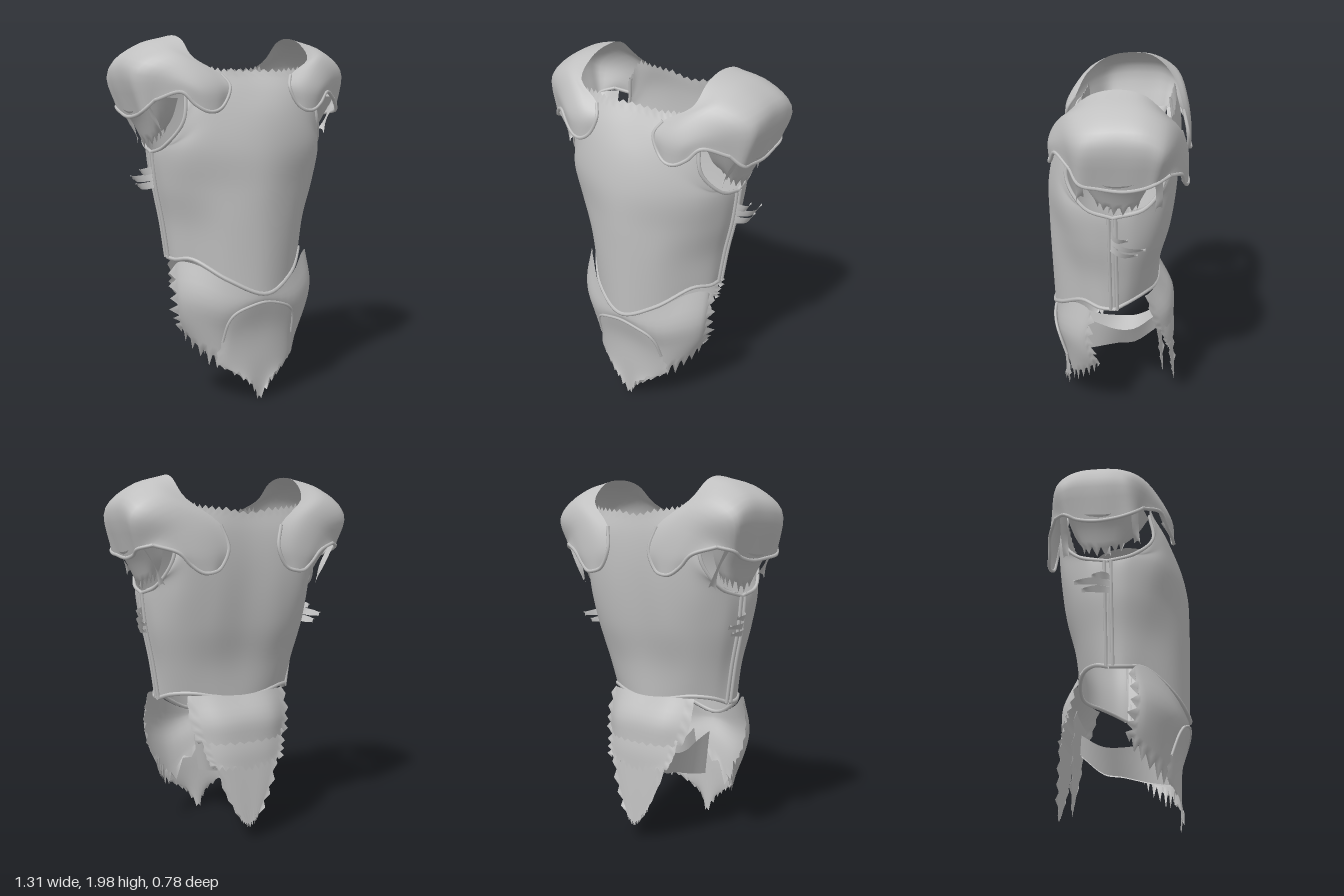
import * as THREE from 'three';

const steel = new THREE.MeshStandardMaterial({ color: 0xc0c0c0, side: THREE.DoubleSide });
steel.name = 'steel grey';

const V = ([x, y, z]) => new THREE.Vector3(x, y, z);
const hash = (i) => { const s = Math.sin(i * 12.9898 + 4.1) * 43758.5453; return s - Math.floor(s); };
const flip = (rows) => rows.map((r) => r.map(([x, y, z]) => [-x, y, z]));
// Completes rows that run from the centre line to the model's left
const whole = (rows) => rows.map((r) => [...r.slice(1).reverse().map(([x, y, z]) => [-x, y, z]), ...r]);

// Smooth sheet through rows of points; jag tears the last row, sideJag the outer columns
function sheet(name, rows, nu, nv, { jag = 0, sideJag = 0 } = {}) {
  const across = rows.map((r) => new THREE.CatmullRomCurve3(r.map(V)));
  const pos = [], idx = [];
  for (let j = 0; j <= nu; j++) {
    const down = new THREE.CatmullRomCurve3(across.map((c) => c.getPoint(j / nu)));
    for (let i = 0; i <= nv; i++) {
      const p = down.getPoint(i / nv);
      const k = Math.min(j, nu - j);
      if (i === nv) p.y += jag * (k % 2 ? 1 : -0.4) * (0.4 + 0.6 * hash(k));
      if (sideJag && k === 0) {
        const d = sideJag * (i % 2 ? 1 : -0.5) * (0.4 + 0.6 * hash(i + 9));
        p.x += Math.sign(p.x) * d;
        p.z -= d;
      }
      pos.push(p.x, p.y, p.z);
      if (i < nv && j < nu) {
        const a = j * (nv + 1) + i, b = a + nv + 1;
        idx.push(a, a + 1, b, b, a + 1, b + 1);
      }
    }
  }
  const g = new THREE.BufferGeometry();
  g.setAttribute('position', new THREE.Float32BufferAttribute(pos, 3));
  g.setIndex(idx);
  g.computeVertexNormals();
  const m = new THREE.Mesh(g, steel);
  m.name = name;
  return m;
}

// Raised edge along a path
function rim(name, pts, r = 0.01) {
  const curve = new THREE.CatmullRomCurve3(pts.map(V));
  const m = new THREE.Mesh(new THREE.TubeGeometry(curve, pts.length * 5, r, 6), steel);
  m.name = name;
  return m;
}

const chest = [
  [[0, .63, .37], [.19, .71, .305], [.335, .812, .155], [.39, .8, .06], [.4, .8, -.02]],
  [[0, 1, .38], [.2, 1, .32], [.345, 1, .18], [.41, 1, .075], [.43, 1, -.02]],
  [[0, 1.2, .385], [.22, 1.2, .32], [.385, 1.2, .205], [.455, 1.2, .09], [.47, 1.2, -.02]],
  [[0, 1.4, .38], [.22, 1.4, .335], [.4, 1.4, .24], [.475, 1.39, .11], [.49, 1.38, -.02]],
  [[0, 1.58, .34], [.2, 1.57, .315], [.34, 1.53, .27], [.43, 1.46, .2], [.475, 1.42, .12]],
  [[0, 1.7, .28], [.18, 1.7, .275], [.3, 1.68, .255], [.37, 1.63, .235], [.41, 1.55, .22]],
  [[0, 1.81, .2], [.15, 1.81, .21], [.25, 1.82, .2], [.33, 1.81, .2], [.385, 1.72, .2]],
];
const back = [
  [[0, .8, -.23], [.15, .82, -.215], [.27, .84, -.17], [.36, .83, -.095], [.4, .8, -.02]],
  [[0, 1, -.245], [.17, 1, -.24], [.31, 1, -.195], [.4, 1, -.11], [.43, 1, -.02]],
  [[0, 1.2, -.285], [.2, 1.2, -.29], [.36, 1.2, -.235], [.45, 1.2, -.13], [.47, 1.2, -.02]],
  [[0, 1.4, -.31], [.2, 1.4, -.32], [.38, 1.4, -.275], [.47, 1.4, -.15], [.49, 1.38, -.02]],
  [[0, 1.57, -.32], [.2, 1.57, -.33], [.35, 1.55, -.31], [.43, 1.5, -.26], [.47, 1.43, -.18]],
  [[0, 1.7, -.315], [.2, 1.7, -.325], [.32, 1.68, -.315], [.38, 1.64, -.295], [.42, 1.56, -.27]],
  [[0, 1.8, -.3], [.15, 1.82, -.3], [.26, 1.83, -.29], [.34, 1.83, -.28], [.39, 1.74, -.26]],
];
// Shoulder cap, from the front flap over the top to the back flap
const shoulder = [
  [[.22, 1.64, .315], [.27, 1.605, .325], [.32, 1.605, .32], [.38, 1.64, .3]],
  [[.18, 1.73, .3], [.27, 1.72, .325], [.36, 1.71, .315], [.44, 1.7, .27]],
  [[.21, 1.79, .26], [.35, 1.82, .275], [.5, 1.78, .23], [.55, 1.66, .18]],
  [[.35, 1.88, .21], [.46, 1.9, .19], [.63, 1.81, .135], [.6, 1.6, .13]],
  [[.36, 1.97, .1], [.52, 1.935, .08], [.65, 1.83, .05], [.595, 1.58, .04]],
  [[.36, 2, -.03], [.53, 1.95, -.05], [.65, 1.84, -.08], [.595, 1.57, -.08]],
  [[.37, 1.98, -.16], [.52, 1.94, -.18], [.65, 1.83, -.2], [.595, 1.59, -.18]],
  [[.35, 1.88, -.27], [.48, 1.88, -.29], [.63, 1.78, -.28], [.6, 1.62, -.24]],
  [[.18, 1.74, -.34], [.31, 1.75, -.36], [.44, 1.72, -.345], [.54, 1.64, -.3]],
  [[.15, 1.62, -.37], [.24, 1.61, -.385], [.33, 1.59, -.38], [.42, 1.6, -.355]],
  [[.2, 1.52, -.375], [.25, 1.5, -.385], [.3, 1.5, -.38], [.36, 1.54, -.365]],
];
const skirt = [
  [[0, .62, .36], [.2, .7, .305], [.33, .79, .2], [.4, .8, .13], [.42, .77, .1]],
  [[0, .59, .355], [.2, .56, .325], [.33, .6, .255], [.41, .62, .17], [.42, .63, .12]],
  [[0, .5, .31], [.2, .42, .285], [.31, .45, .235], [.385, .48, .16], [.4, .5, .1]],
  [[0, .4, .28], [.2, .23, .25], [.27, .26, .2], [.33, .34, .13], [.375, .42, .07]],
];
const frontTasset = [
  [[0, .585, .368], [.1, .565, .36], [.17, .53, .34], [.2, .48, .318]],
  [[0, .42, .322], [.1, .41, .318], [.18, .38, .3], [.215, .37, .28]],
  [[0, .22, .31], [.1, .23, .305], [.18, .24, .285], [.235, .25, .255]],
  [[0, .02, .3], [.05, .1, .32], [.11, .16, .31], [.2, .22, .27]],
];
const backLames = [
  [
    [[0, .82, -.24], [.16, .83, -.23], [.3, .83, -.18]],
    [[0, .7, -.315], [.16, .69, -.3], [.3, .68, -.22]],
    [[0, .57, -.325], [.15, .57, -.31], [.27, .58, -.25]],
  ],
  [
    [[0, .62, -.305], [.13, .62, -.295], [.25, .62, -.255]],
    [[0, .52, -.325], [.13, .52, -.315], [.24, .52, -.28]],
    [[0, .42, -.33], [.11, .43, -.325], [.21, .45, -.305]],
  ],
  [
    [[0, .47, -.31], [.1, .47, -.31], [.19, .47, -.305]],
    [[0, .3, -.325], [.08, .3, -.325], [.14, .3, -.32]],
    [[0, .1, -.34], [.03, .12, -.34], [.06, .16, -.335]],
  ],
  [
    [[0, .66, -.235], [.09, .66, -.235], [.17, .66, -.23]],
    [[0, .4, -.255], [.07, .4, -.255], [.14, .4, -.25]],
    [[0, .13, -.27], [.03, .16, -.27], [.05, .22, -.265]],
  ],
];
const crotchStrap = [
  [[.06, .54, .25], [.02, .27, .26]], [[.05, .5, .15], [.012, .29, .15]],
  [[.08, .47, 0], [.01, .33, 0]], [[.08, .48, -.1], [.015, .35, -.1]], [[.05, .56, -.22], [.02, .46, -.23]],
];
// Torn arm guard under the cap, wrapping from front to back
const sleeve = [
  [[.43, 1.67, .2], [.55, 1.67, .16], [.605, 1.6, 0], [.58, 1.63, -.21], [.46, 1.66, -.24]],
  [[.43, 1.57, .13], [.52, 1.56, .11], [.56, 1.53, -.04], [.53, 1.55, -.18], [.45, 1.56, -.2]],
  [[.44, 1.5, .05], [.49, 1.45, .05], [.505, 1.42, -.05], [.49, 1.45, -.14], [.45, 1.48, -.15]],
];

// Parts that come in left and right pairs
function sideParts(s) {
  const g = new THREE.Group();
  g.name = s > 0 ? 'leftSide' : 'rightSide';
  const M = (rows) => (s > 0 ? rows : flip(rows));
  const S = shoulder;
  g.add(sheet('shoulderCap', M(S), 14, 44));
  const rims = {
    frontFlapRim: [S[2][0], S[1][0], ...S[0], S[1][3], S[2][3]],
    backFlapRim: [S[8][0], S[9][0], ...S[10], S[9][3], S[8][3]],
    capLowerRim: S.slice(2, 9).map((r) => r[3]),
    frontArmholeRim: chest.slice(3).map((r) => r[4]),
    backArmholeRim: back.slice(3).map((r) => r[4]),
    frontSeam: chest.slice(0, 4).map((r) => [r[4][0] + .005, r[4][1], .0]),
    backSeam: chest.slice(0, 4).map((r) => [r[4][0] + .005, r[4][1], -.035]),
  };
  for (const [name, pts] of Object.entries(rims)) g.add(rim(name, M([pts])[0], name.includes('Seam') ? .009 : .01));
  g.add(sheet('raggedSleeve', M(sleeve), 18, 8, { jag: .06 }));
  g.add(sheet('crotchStrap', M(crotchStrap), 2, 16));
  // Torn straps hanging below the shoulder cap
  [[.14, 1.47, .5], [-.02, 1.41, .49], [-.25, 1.42, .48]].forEach(([z, y, x], i) =>
    g.add(sheet('hangingStrap' + i, M([
      [[.57, 1.63, z + .02], [.57, 1.63, z - .02]],
      [[x + .02, (1.62 + y) / 2, z + .015], [x + .03, (1.62 + y) / 2, z - .02]],
      [[x, y, z + .02], [x - .02, y + .02, z - .015]],
    ]), 3, 6, { jag: .02 })));
  // Side buckle straps
  [[1.29, .07, -.1], [1.25, .085, -.19], [1.21, .07, -.15]].forEach(([y, out, z], i) =>
    g.add(sheet('buckleStrap' + i, M([
      [[.465, y + .02, 0], [.475, y - .02, 0]],
      [[.465 + out, y, z * .45], [.45 + out, y - .035, z * .45]],
      [[.46 + out, y - .01, z], [.445 + out, y - .025, z]],
    ]), 3, 8, { jag: .015 })));
  return g;
}

export function createModel() {
  const model = new THREE.Group();
  model.name = 'bodyArmour';
  // Torso shell
  model.add(sheet('breastplate', whole(chest), 48, 36, { jag: .022 }));
  model.add(sheet('backplate', whole(back), 48, 36, { jag: .022 }));
  model.add(rim('frontHem', whole([chest[0]])[0], .012));
  model.add(rim('backHem', whole([back[0]])[0], .012));
  // Front skirt and centre tasset
  model.add(sheet('frontSkirt', whole(skirt), 30, 12, { jag: .09, sideJag: .035 }));
  model.add(sheet('frontTasset', whole(frontTasset), 22, 14, { jag: .035, sideJag: .008 }));
  model.add(rim('tassetArch', whole([[...frontTasset[0], frontTasset[1][3]]])[0], .008));
  // Back lames and tail
  backLames.forEach((rows, i) =>
    model.add(sheet('backLame' + i, whole(rows), 22, 8, { jag: i < 1 ? .015 : .025, sideJag: .015 })));
  model.add(sideParts(1), sideParts(-1));
  return model;
}
